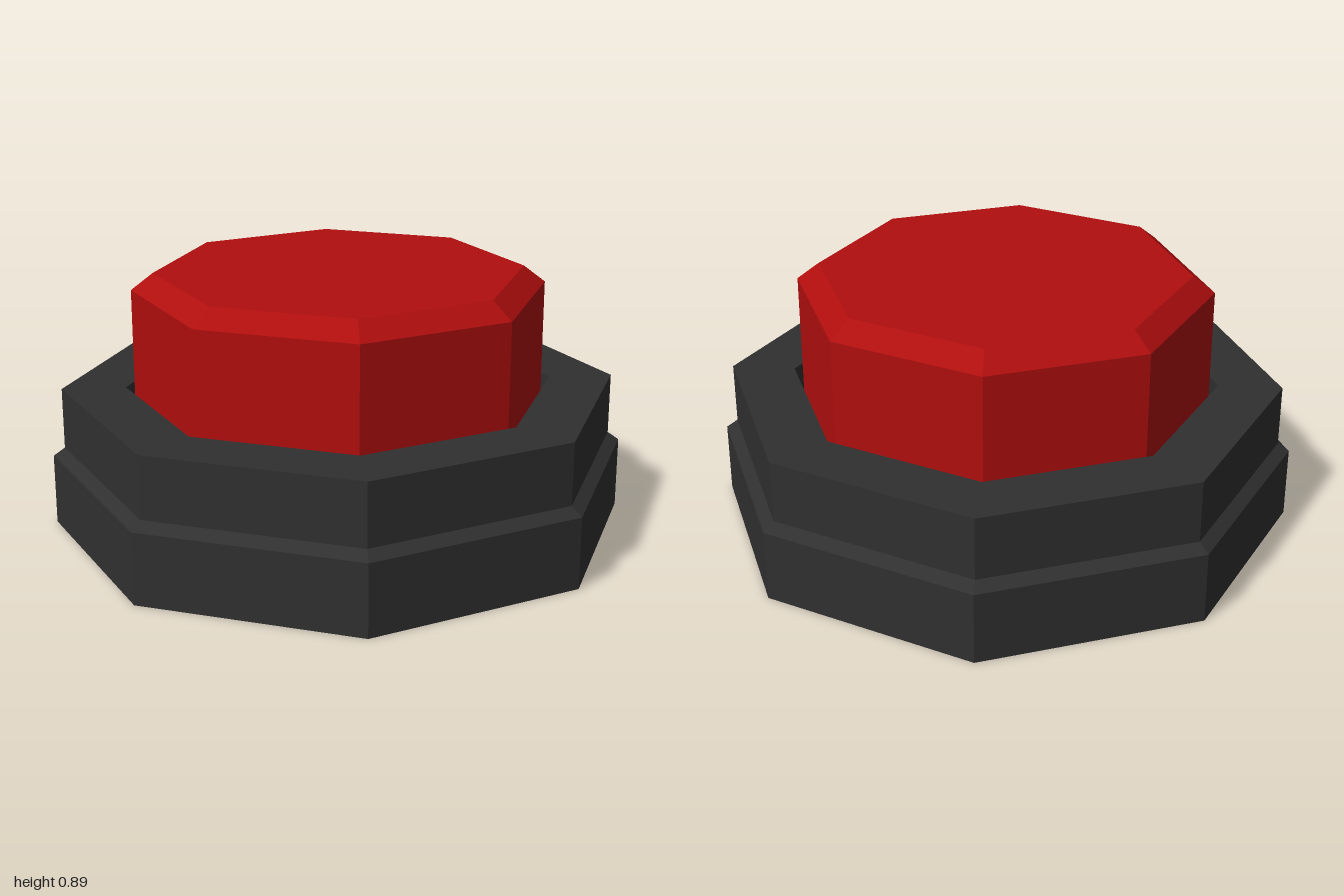
import * as THREE from 'three';

const SIDES = 8;

// Turns a [radius, height] profile into a faceted eight-sided shell
function shell(name, profile, material) {
  const points = profile.map(([r, y]) => new THREE.Vector2(r, y));
  const mesh = new THREE.Mesh(new THREE.LatheGeometry(points, SIDES), material);
  mesh.name = name;
  return mesh;
}

export function createModel() {
  const options = { flatShading: true, side: THREE.DoubleSide };
  const darkGrey = new THREE.MeshStandardMaterial({ color: 0x303030, ...options });
  darkGrey.name = 'darkGrey';
  const red = new THREE.MeshStandardMaterial({ color: 0xb00e0e, ...options });
  red.name = 'red';

  const group = new THREE.Group();
  group.name = 'pushButton';

  // Stepped housing, open below, with a sleeve folded down around the button
  group.add(shell('housing', [
    [1, 0], [1, 0.247], [0.96, 0.276], [0.96, 0.49], [0.74, 0.49], [0.74, 0.235],
  ], darkGrey));

  // Bevelled hollow cap that runs down inside the sleeve
  group.add(shell('buttonCap', [
    [0.71, 0.235], [0.71, 0.835], [0.635, 0.893], [0, 0.893],
  ], red));

  return group;
}
